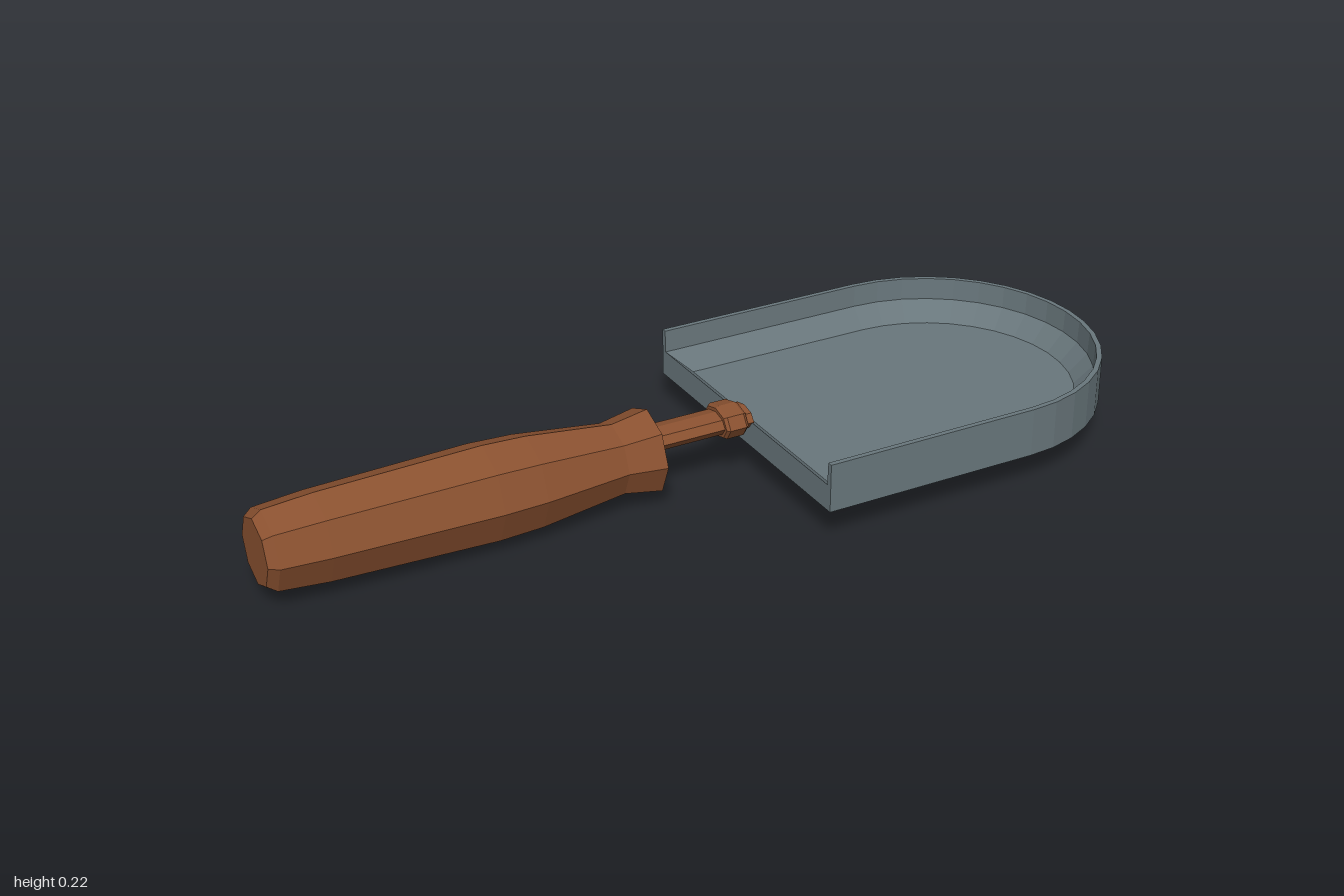
import * as THREE from 'three';

const R = 0.368, REAR = 0.12, ARC_X = 0.632, STEPS = 18;

// D-shaped outline at height y: straight rear, half-round front
function outline(inset, rearInset, y) {
  const r = R - inset, x0 = REAR + rearInset;
  const pts = [new THREE.Vector3(x0, y, r)];
  for (let i = 0; i <= STEPS; i++) {
    const a = Math.PI * (0.5 - i / STEPS);
    pts.push(new THREE.Vector3(ARC_X + r * Math.cos(a), y, r * Math.sin(a)));
  }
  pts.push(new THREE.Vector3(x0, y, -r));
  return pts;
}

function panGeometry() {
  const tri = [];
  const quad = (a, b, c, d) => tri.push(a, b, c, a, c, d);
  const strip = (lo, up, closed) => {
    const n = lo.length, count = closed ? n : n - 1;
    for (let i = 0; i < count; i++) {
      const j = (i + 1) % n;
      quad(lo[i], lo[j], up[j], up[i]);
    }
  };
  const base = outline(0, 0, 0.075);
  const ledge = outline(0, 0, 0.135);
  const rimOut = outline(0, 0, 0.187);
  const rimIn = outline(0.012, 0, 0.187);
  const slopeTop = outline(0.014, 0, 0.135);
  const floor = outline(0.055, 0.05, 0.09);
  const n = base.length - 1;

  strip(base, rimOut, false);
  strip(rimOut, rimIn, false);
  strip(rimIn, slopeTop, false);
  strip(slopeTop, floor, true);
  for (let i = 1; i < n; i++) {
    tri.push(floor[0], floor[i], floor[i + 1]);
    tri.push(base[0], base[i + 1], base[i]);
  }
  // Low rear face with the two rim ends standing above it
  quad(base[n], base[0], ledge[0], ledge[n]);
  quad(ledge[0], rimOut[0], rimIn[0], slopeTop[0]);
  quad(slopeTop[n], rimIn[n], rimOut[n], ledge[n]);

  const geo = new THREE.BufferGeometry().setFromPoints(tri);
  geo.computeVertexNormals();
  return geo;
}

// Eight-sided turned part along x from [x, radius] pairs
function turned(profile) {
  const pts = profile.map(([x, r]) => new THREE.Vector2(r, x));
  return new THREE.LatheGeometry(pts, 8).rotateZ(-Math.PI / 2);
}

export function createModel() {
  const group = new THREE.Group();
  const wood = new THREE.MeshStandardMaterial({ color: 0x8a5130, flatShading: true });
  wood.name = 'brown wood';
  const metal = new THREE.MeshStandardMaterial({ color: 0x69777c, flatShading: true });
  metal.name = 'grey metal';

  const add = (name, geo, mat, y = 0) => {
    const mesh = new THREE.Mesh(geo, mat);
    mesh.name = name;
    mesh.position.y = y;
    group.add(mesh);
    return mesh;
  };

  // Pan
  add('pan', panGeometry(), metal);

  // Grip
  add('handle', turned([
    [-1, 0], [-1, 0.076], [-0.98, 0.091], [-0.87, 0.1], [-0.5, 0.11],
    [-0.4, 0.106], [-0.2, 0.082], [-0.115, 0.097], [-0.115, 0],
  ]), wood, 0.111);

  // Flattened shaft and collar joining grip to pan
  const shaft = add('shaft', turned([[-0.13, 0], [-0.13, 0.043], [0.125, 0.043], [0.125, 0]]), wood, 0.135);
  shaft.scale.y = 0.57;
  const collar = add('collar', turned([
    [0.053, 0], [0.053, 0.05], [0.06, 0.056], [0.1, 0.056], [0.107, 0.05], [0.107, 0],
  ]), wood, 0.135);
  collar.scale.y = 0.66;

  return group;
}
